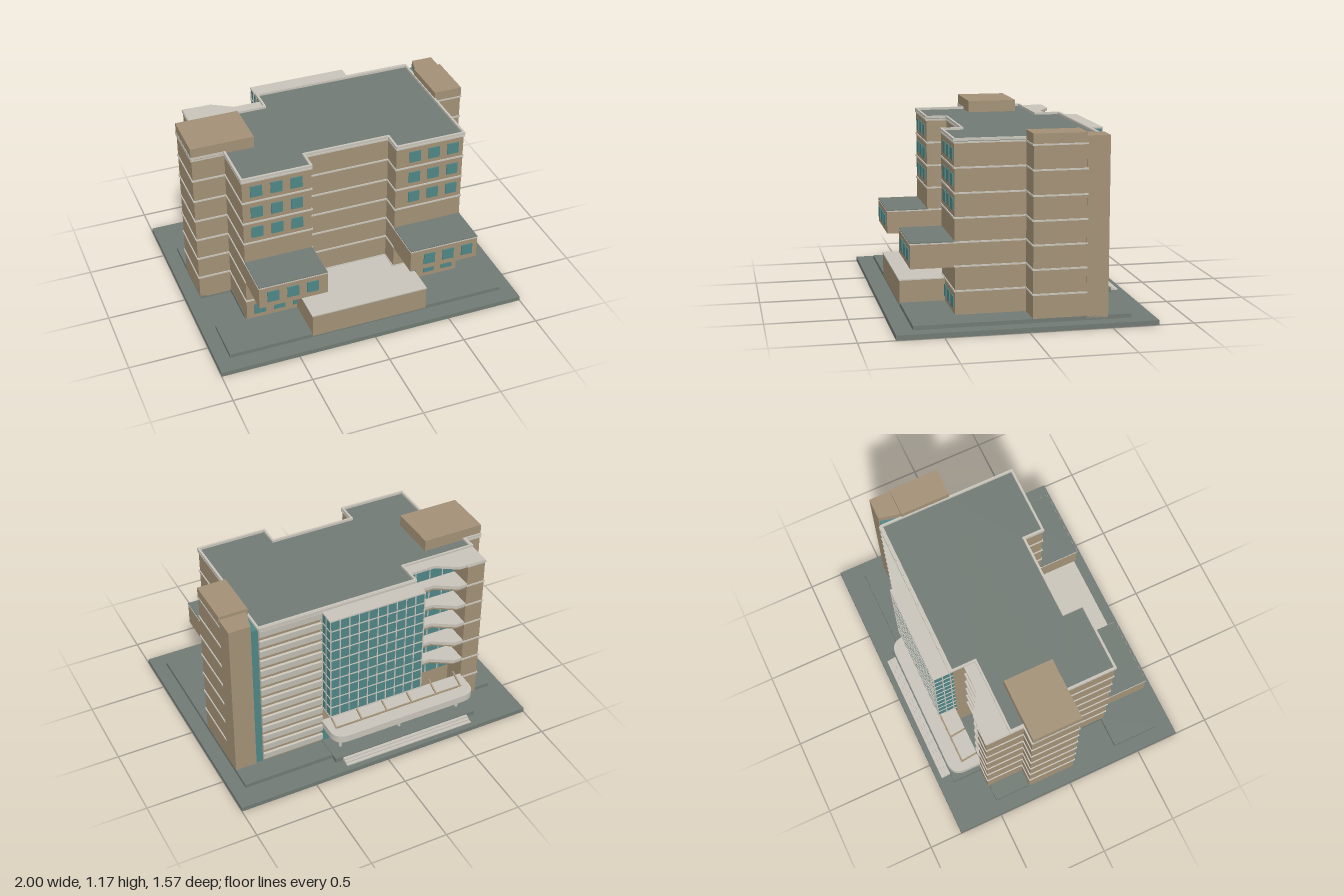
import * as THREE from 'three';

const mat = (name, color) => {
  const m = new THREE.MeshStandardMaterial({ color });
  m.name = name;
  return m;
};

export function createModel() {
  const root = new THREE.Group();
  root.name = 'building';
  const brick = mat('tan brick', 0xa39176);
  const slate = mat('grey roofing', 0x717a74);
  const stone = mat('pale stone', 0xc8c4ba);
  const glass = mat('teal glass', 0x4f8686);

  const add = (name, geo, m, parent = root) => {
    const mesh = new THREE.Mesh(geo, m);
    mesh.name = name;
    parent.add(mesh);
    return mesh;
  };
  const group = (name) => {
    const g = new THREE.Group();
    g.name = name;
    root.add(g);
    return g;
  };
  // Box given by its extents
  const box = (name, m, x0, x1, y0, y1, z0, z1, parent = root) => {
    const b = add(name, new THREE.BoxGeometry(x1 - x0, y1 - y0, z1 - z0), m, parent);
    b.position.set((x0 + x1) / 2, (y0 + y1) / 2, (z0 + z1) / 2);
    return b;
  };
  // Upright prism over an [x, z] plan
  const prism = (name, m, plan, y0, y1, parent = root) => {
    const shape = new THREE.Shape(plan.map(([x, z]) => new THREE.Vector2(x, -z)));
    const geo = new THREE.ExtrudeGeometry(shape, { depth: y1 - y0, bevelEnabled: false });
    geo.rotateX(-Math.PI / 2);
    geo.translate(0, y0, 0);
    return add(name, geo, m, parent);
  };
  // Thin band running along an [x, z] path of axis-aligned walls
  const band = (name, m, path, y0, y1, t, parent) => {
    for (let i = 0; i < path.length - 1; i++) {
      const [ax, az] = path[i], [bx, bz] = path[i + 1];
      box(name, m, Math.min(ax, bx) - t, Math.max(ax, bx) + t, y0, y1,
        Math.min(az, bz) - t, Math.max(az, bz) + t, parent);
    }
  };

  // Ground slab and raised plinth
  box('groundSlab', slate, -1, 1, 0, 0.03, -0.785, 0.78);
  prism('plinth', slate, [[-0.91, 0.67], [0.91, 0.67], [0.91, -0.64], [-0.31, -0.64], [-0.31, -0.49],
    [-0.91, -0.49], [-0.91, 0.06], [-0.71, 0.06], [-0.71, 0.37], [-0.91, 0.37]], 0.03, 0.055);

  // Main body, with the recess for the balconies at the back
  const outer = [[-0.68, -0.5], [-0.8, -0.5], [-0.8, -0.255], [-0.912, -0.255], [-0.912, 0.06],
    [-0.707, 0.06], [-0.707, 0.39], [-0.272, 0.39], [-0.272, 0.26], [0.28, 0.26], [0.28, 0.39],
    [0.727, 0.39], [0.727, -0.04], [0.908, -0.04], [0.908, -0.36]];
  prism('mainWalls', brick, [...outer, [0.73, -0.36], [0.73, -0.49], [-0.31, -0.49], [-0.31, -0.34],
    [-0.68, -0.34]], 0.04, 1.085);
  const roofLine = [[-0.31, -0.34], [-0.793, -0.34], ...outer.slice(2, 13), [0.727, -0.5],
    [-0.31, -0.5], [-0.31, -0.34]];
  prism('mainRoof', slate, roofLine.slice(0, -1), 1.085, 1.095);

  // Floor bands and parapet
  const bands = group('floorBands');
  for (const y of [0.2, 0.35, 0.495, 0.64, 0.787, 0.937])
    band('floorBand', stone, outer, y - 0.005, y + 0.005, 0.006, bands);
  const parapet = group('parapet');
  band('parapetBase', stone, outer, 1.08, 1.09, 0.006, parapet);
  band('parapetRail', stone, roofLine, 1.094, 1.11, 0.007, parapet);

  // Roof boxes and rear corner tower
  box('largeRoofBox', brick, -0.917, -0.517, 1.085, 1.17, -0.253, 0.065);
  box('smallRoofBox', brick, 0.727, 0.911, 1.085, 1.15, -0.36, -0.038);
  prism('cornerTower', brick, [[0.91, -0.36], [0.91, -0.497], [0.772, -0.497], [0.74, -0.36]], 0.04, 1.13);
  box('towerGlassStrip', glass, 0.725, 0.775, 0.055, 1.085, -0.49, -0.358);

  // Low front hall
  box('frontHall', brick, -0.375, 0.385, 0.04, 0.193, 0.25, 0.672);
  box('frontHallRoof', stone, -0.378, 0.388, 0.193, 0.2, 0.25, 0.675);

  // Cantilevered front wings and front windows
  const wins = group('frontWindows');
  for (const [x0, x1, first] of [[-0.708, -0.27, -0.62], [0.278, 0.728, 0.403]]) {
    box('frontWing', brick, x0, x1, 0.345, 0.492, 0.38, 0.655);
    box('frontWingTrim', stone, x0 - 0.003, x1 + 0.003, 0.489, 0.496, 0.38, 0.658);
    box('frontWingRoof', slate, x0, x1, 0.496, 0.502, 0.38, 0.656);
    for (const y of [0.125, 0.42, 0.715, 0.86, 1.01])
      for (let i = 0; i < 3; i++) {
        const x = first + i * 0.127, z = y === 0.42 ? 0.655 : 0.39;
        box('window', glass, x - 0.037, x + 0.037, y - 0.037, y + 0.037, z - 0.001, z + 0.007, wins);
      }
  }

  // Rear curtain wall with its grid
  const curtain = group('curtainWall');
  const [cx0, cx1, cy0, cy1, cz] = [-0.31, 0.32, 0.35, 1.085, -0.615];
  box('curtainGlass', glass, cx0, cx1, cy0, cy1, cz, -0.48, curtain);
  box('curtainSoffit', brick, cx0, cx1, cy0 - 0.006, cy0, cz, -0.48, curtain);
  box('curtainRoof', stone, cx0 - 0.004, cx1 + 0.004, cy1, cy1 + 0.007, cz - 0.005, -0.48, curtain);
  for (let i = 0; i <= 10; i++) {
    const y = cy0 + (cy1 - cy0) * i / 10, x = cx0 + (cx1 - cx0) * i / 10;
    box('transom', stone, cx0 - 0.004, cx1 + 0.004, y - 0.003, y + 0.003, cz - 0.004, -0.49, curtain);
    box('mullion', stone, x - 0.003, x + 0.003, cy0, cy1, cz - 0.005, cz + 0.002, curtain);
  }
  for (const z of [-0.51, -0.56])
    box('sideMullion', stone, cx0 - 0.004, cx1 + 0.004, cy0, cy1, z - 0.003, z + 0.003, curtain);

  // Sun louvres on the rear wall
  const louvres = group('louvres');
  for (let i = 0; i < 14; i++) {
    const y = 0.105 + i * 0.0735;
    const l = box('louvre', stone, 0.322, 0.726, y - 0.023, y + 0.023, -0.513, -0.497, louvres);
    l.rotation.x = -0.12;
  }
  box('rearCornice', stone, -0.31, 0.728, 1.083, 1.108, -0.515, -0.49);

  // Recessed glazing and balconies
  const balconies = group('balconies');
  box('recessGlass', glass, -0.68, -0.31, 0.2, 1.08, -0.349, -0.335, balconies);
  for (const x of [-0.59, -0.5, -0.4])
    box('recessMullion', stone, x - 0.003, x + 0.003, 0.2, 1.08, -0.353, -0.345, balconies);
  const deck = [[-0.68, -0.34], [-0.68, -0.5], [-0.62, -0.5], [-0.49, -0.42], [-0.31, -0.42], [-0.31, -0.34]];
  const under = [[-0.68, -0.34], [-0.68, -0.485], [-0.625, -0.485], [-0.5, -0.41], [-0.31, -0.41], [-0.31, -0.34]];
  for (const y of [0.35, 0.495, 0.64, 0.787, 0.937]) {
    prism('balconyDeck', stone, deck, y - 0.008, y + 0.014, balconies);
    prism('balconySoffit', brick, under, y - 0.03, y - 0.008, balconies);
  }
  prism('balconyRoof', stone, [[-0.803, -0.335], [-0.803, -0.505], ...deck.slice(1, 5), [-0.31, -0.335]],
    1.08, 1.098, balconies);

  // Entrance: glazed ground floor, terrace and steps
  box('entranceGlass', glass, -0.3, 0.32, 0.055, 0.2, -0.496, -0.485);
  box('terrace', slate, -0.68, 0.32, 0.03, 0.06, -0.69, -0.49);
  for (let i = 0; i < 3; i++)
    box('entranceStep', stone, -0.62, 0.27, 0.03, 0.037 + i * 0.008, -0.75 + i * 0.02, -0.68);

  // Rounded entrance canopy with posts and struts
  const canopy = group('entranceCanopy');
  const s = new THREE.Shape();
  s.moveTo(-0.68, 0.49);
  s.lineTo(0.32, 0.49);
  s.lineTo(0.32, 0.6);
  s.quadraticCurveTo(0.32, 0.692, 0.225, 0.692);
  s.lineTo(-0.585, 0.692);
  s.quadraticCurveTo(-0.68, 0.692, -0.68, 0.6);
  const slab = new THREE.ExtrudeGeometry(s, { depth: 0.048, bevelEnabled: false, curveSegments: 10 });
  slab.rotateX(-Math.PI / 2);
  slab.translate(0, 0.176, 0);
  add('canopySlab', slab, stone, canopy);
  for (const x of [-0.6, -0.18, 0.24]) {
    const post = add('canopyPost', new THREE.CylinderGeometry(0.011, 0.011, 0.125, 12), stone, canopy);
    post.position.set(x, 0.118, -0.592);
  }
  box('strutBeam', brick, -0.62, 0.27, 0.224, 0.231, -0.604, -0.594, canopy);
  for (let i = 0; i < 6; i++) {
    const strut = add('canopyStrut', new THREE.BoxGeometry(0.009, 0.009, 0.115), brick, canopy);
    strut.position.set(-0.62 + i * 0.178, 0.247, -0.549);
    strut.rotation.x = -0.4;
  }
  return root;
}
